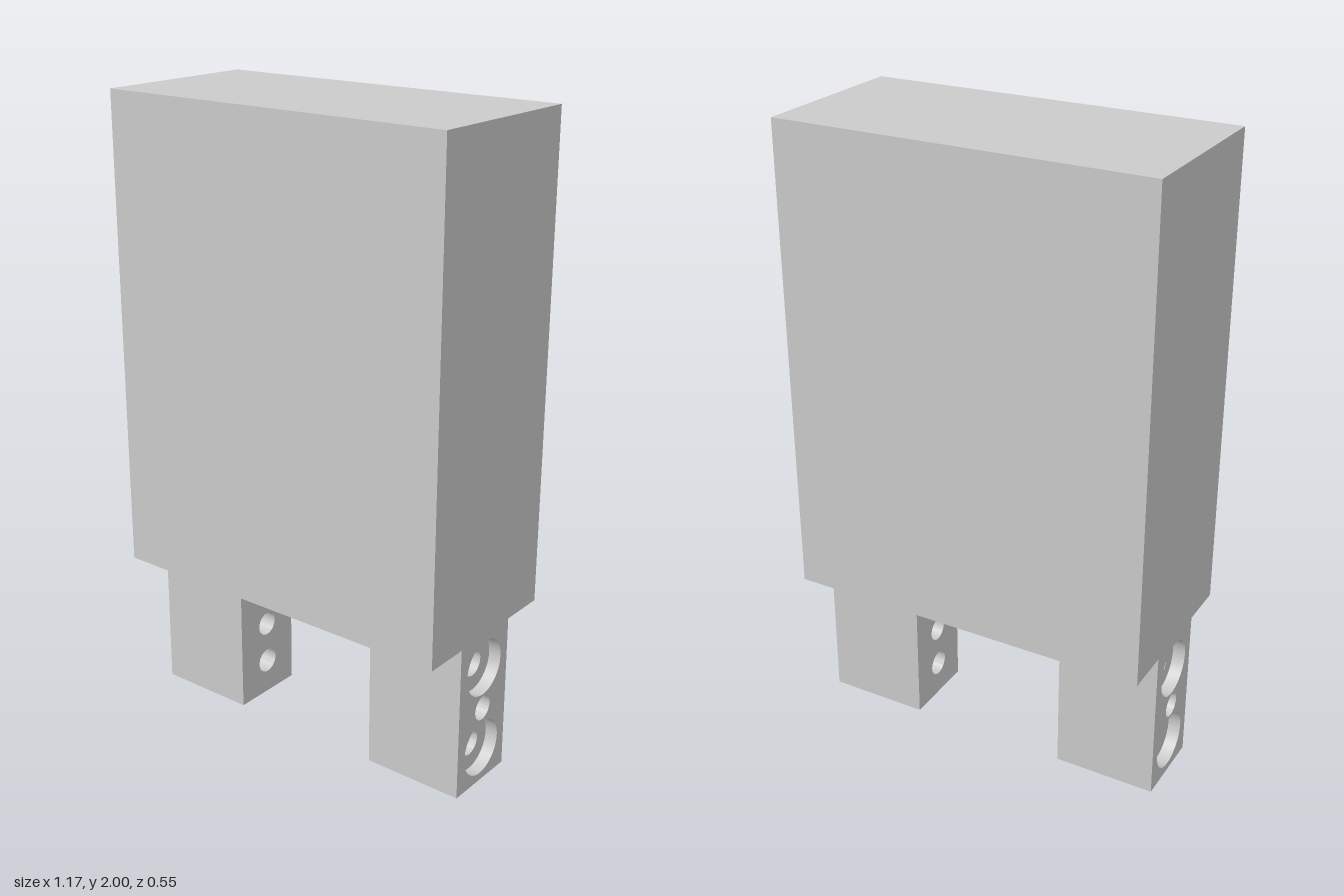
import * as THREE from 'three';
import { toCreasedNormals } from 'three/addons/utils/BufferGeometryUtils.js';

const material = new THREE.MeshStandardMaterial({ color: 0xcccccc });
const SEGMENTS = 48;
const HALF_WIDTH = 0.587, LEG_INNER = 0.26, LEG_HEIGHT = 0.5, LEG_HALF_DEPTH = 0.125;
const BORE_FLOOR = HALF_WIDTH - 0.04;

// Holes through each leg: height, radius, and the wider counterbore radius on the outer face
const HOLES = [
  { y: 0.389, r: 0.041, bore: 0.09 },
  { y: 0.252, r: 0.039, bore: 0.039 },
  { y: 0.115, r: 0.041, bore: 0.09 },
];

function addMesh(group, name, geometry) {
  const mesh = new THREE.Mesh(geometry, material);
  mesh.name = name;
  group.add(mesh);
  return mesh;
}

// Flat leg face with round openings, standing in the xy plane
function drilledFace(radiusKey) {
  const d = LEG_HALF_DEPTH;
  const shape = new THREE.Shape([
    new THREE.Vector2(-d, 0), new THREE.Vector2(d, 0),
    new THREE.Vector2(d, LEG_HEIGHT), new THREE.Vector2(-d, LEG_HEIGHT),
  ]);
  for (const hole of HOLES) {
    shape.holes.push(new THREE.Path().absarc(0, hole.y, hole[radiusKey], 0, Math.PI * 2, true));
  }
  return new THREE.ShapeGeometry(shape, SEGMENTS / 2);
}

// Leg on the +x side, with the counterbored face outward
function createLeg(name) {
  const leg = new THREE.Group();
  leg.name = name;

  // Front, back, top and bottom walls: a box without its two x faces
  const width = HALF_WIDTH - LEG_INNER;
  const walls = new THREE.BoxGeometry(width, LEG_HEIGHT, LEG_HALF_DEPTH * 2);
  walls.setIndex(Array.from(walls.index.array).slice(12));
  walls.clearGroups();
  walls.translate(LEG_INNER + width / 2, LEG_HEIGHT / 2, 0);
  addMesh(leg, 'legWalls', walls);

  addMesh(leg, 'legOuterFace', drilledFace('bore').rotateY(Math.PI / 2).translate(HALF_WIDTH, 0, 0));
  addMesh(leg, 'legInnerFace', drilledFace('r').rotateY(-Math.PI / 2).translate(LEG_INNER, 0, 0));

  // Hole linings, stepped where there is a counterbore
  for (const { y, r, bore } of HOLES) {
    const profile = [new THREE.Vector2(bore, HALF_WIDTH)];
    if (bore > r) profile.push(new THREE.Vector2(bore, BORE_FLOOR), new THREE.Vector2(r, BORE_FLOOR));
    profile.push(new THREE.Vector2(r, LEG_INNER));
    const lining = new THREE.LatheGeometry(profile, SEGMENTS).rotateZ(-Math.PI / 2).translate(0, y, 0);
    addMesh(leg, bore > r ? 'counterboredHole' : 'plainHole', toCreasedNormals(lining, 0.6));
  }
  return leg;
}

export function createModel() {
  const model = new THREE.Group();
  model.name = 'blockOnLegs';

  // Main block
  const bodyHeight = 2 - LEG_HEIGHT;
  const body = new THREE.BoxGeometry(HALF_WIDTH * 2, bodyHeight, 0.55);
  addMesh(model, 'body', body).position.y = LEG_HEIGHT + bodyHeight / 2;

  // Two legs, the right one turned round so its counterbores also face outward
  const rightLeg = createLeg('rightLeg');
  rightLeg.rotation.y = Math.PI;
  model.add(createLeg('leftLeg'), rightLeg);
  return model;
}
